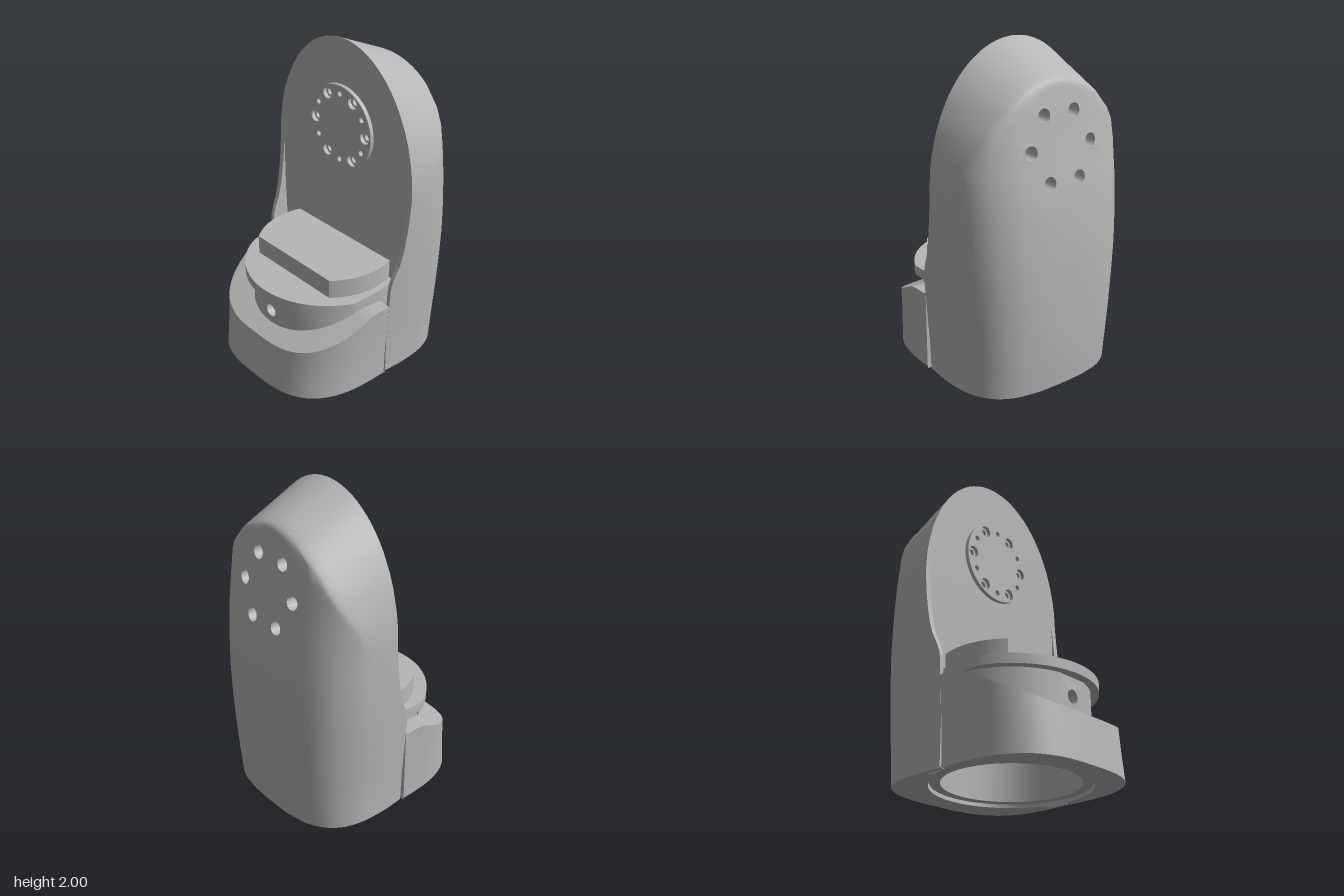
import * as THREE from 'three';
import { mergeGeometries, toCreasedNormals } from 'three/addons/utils/BufferGeometryUtils.js';

const grey = new THREE.MeshStandardMaterial({ color: 0xb6b6b6, side: THREE.DoubleSide });
grey.name = 'housing grey';

const CX = -0.03, CZ = 0.01; // turntable axis
const mounts = Array.from({ length: 6 }, (_, i) => {
  const a = i * Math.PI / 3;
  return [0.21 * Math.cos(a), 1.46 + 0.213 * Math.sin(a)]; // z, y of each bolt hole
});

// linear interpolation through [key, value] pairs
function lerpTable(t, k) {
  if (k <= t[0][0]) return t[0][1];
  for (let i = 1; i < t.length; i++) {
    const [a, va] = t[i - 1], [b, vb] = t[i];
    if (k <= b) return va + (vb - va) * (k - a) / (b - a);
  }
  return t[t.length - 1][1];
}

// skin a list of cross-sections with quads
function loft(sections, skip = () => false) {
  const pos = [], idx = [], n = sections[0].length;
  sections.forEach(s => s.forEach(p => pos.push(...p)));
  for (let i = 0; i < sections.length - 1; i++) {
    for (let j = 0; j < n - 1; j++) {
      if (skip(i, j)) continue;
      const a = i * n + j, b = a + n;
      idx.push(a, a + 1, b, a + 1, b + 1, b);
    }
  }
  const g = new THREE.BufferGeometry();
  g.setAttribute('position', new THREE.Float32BufferAttribute(pos, 3));
  g.setIndex(idx);
  return g.toNonIndexed();
}

function circleHole(x, y, r) {
  return new THREE.Path().absarc(x, y, r, 0, Math.PI * 2, true);
}

function rectShape(x0, x1, y0, y1) {
  return new THREE.Shape([[x0, y0], [x1, y0], [x1, y1], [x0, y1]].map(p => new THREE.Vector2(...p)));
}

// horizontal slab from a shape drawn in x, z
function slab(shape, y0, y1) {
  return new THREE.ExtrudeGeometry(shape, { depth: y1 - y0, bevelEnabled: false, curveSegments: 40 })
    .rotateX(Math.PI / 2).translate(0, y1, 0);
}

// --- tower surface rules ---
const halfWidth = y => y > 1.2
  ? 0.575 * Math.sqrt(Math.max(0, 1 - ((y - 1.2) / 0.8) ** 2))
  : lerpTable([[0, 0.53], [0.17, 0.533], [0.4, 0.549], [0.6, 0.561], [0.8, 0.572], [1, 0.575]], y);
const frontEdge = y => lerpTable([[0.62, -0.02], [0.66, -0.015], [0.71, 0.003], [0.78, 0.035],
  [0.86, 0.057], [0.94, 0.072], [1.02, 0.084], [1.18, 0.1]], y);
const backEdge = y => lerpTable([[0, 0.592], [0.2, 0.61], [0.4, 0.619], [0.6, 0.623], [0.8, 0.622],
  [1, 0.612], [1.2, 0.593], [1.8, 0.492], [2, 0.46]], y);

// depth behind the inner wall of the rounded back and of the sloping arched top
function backDepth(z, y) {
  const w = y > 1.2 ? 0.575 : halfWidth(y);
  return (backEdge(y) - 0.1) * Math.cbrt(Math.max(0, 1 - (Math.abs(z) / w) ** 3));
}
function slopeDepth(z, y) {
  const arch = 1.2 + 0.8 * Math.sqrt(Math.max(0, 1 - (z / 0.575) ** 2));
  return Math.max(0, arch - y) / 0.447;
}
function backX(z, y) {
  const back = backDepth(z, y), k = 0.05;
  if (y < 1.15) return 0.1 + back;
  const slope = slopeDepth(z, y), h = Math.max(k - Math.abs(back - slope), 0) / k;
  return 0.1 + Math.max(0, Math.min(back, slope) - h * h * k / 4);
}

// half-width at which the slope meets the back
function ridgeZ(y) {
  const w = halfWidth(y);
  if (y <= 1.2) return w - 0.02;
  let lo = 0, hi = w;
  for (let i = 0; i < 30; i++) {
    const m = (lo + hi) / 2;
    if (backDepth(m, y) < slopeDepth(m, y)) lo = m; else hi = m;
  }
  return Math.max(0, Math.min(lo, w - 0.02));
}

const FLANK = 9, CORNER = 10, CELLS = [0.28, 0.16, 0.05, -0.05, -0.16, -0.28];
const ROWS = [0, 0.1, 0.2, 0.3, 0.4, 0.5, 0.56, 0.62, 0.66, 0.71, 0.78, 0.86, 0.94, 1.02, 1.1, 1.2,
  1.32, 1.4, 1.52, 1.6, 1.7, 1.73, 1.755, 1.78, 1.8, 1.815, 1.825, 1.835, 1.85, 1.87, 1.9, 1.93, 1.95,
  1.97, 1.985, 1.995, 2];

function towerSection(y) {
  const w = halfWidth(y), zr = ridgeZ(y), zc = Math.min(0.28, 0.92 * zr), xf = frontEdge(y);
  const half = s => {
    const pts = [[0.1, y, s * w * 0.94], [xf, y, s * w * 0.94], [xf, y, s * (w - 0.08 * (0.1 - xf))], [0.1, y, s * w]];
    for (let i = 1; i <= FLANK; i++) {
      const t = i / FLANK, z = w - (w - zr) * t * t * (3 - 2 * t);
      pts.push([backX(z, y), y, s * z]);
    }
    for (let i = 1; i < CORNER; i++) {
      const z = zc + (zr - zc) * Math.cos(i / CORNER * Math.PI / 2);
      pts.push([backX(z, y), y, s * z]);
    }
    return pts;
  };
  const middle = CELLS.map(c => c * zc / 0.28).map(z => [backX(z, y), y, z]);
  return [...half(1), ...middle, ...half(-1).reverse()];
}

function towerShell() {
  const first = 3 + FLANK + CORNER, r0 = ROWS.indexOf(1.2), r1 = ROWS.indexOf(1.7);
  const inPatch = (i, j) => i >= r0 && i < r1 && j >= first && j < first + 5;
  const parts = [loft(ROWS.map(towerSection), inPatch)];
  // drilled back panel, cell by cell
  for (let i = r0; i < r1; i++) for (let j = 0; j < 5; j++) {
    const [z0, z1, y0, y1] = [CELLS[j + 1], CELLS[j], ROWS[i], ROWS[i + 1]];
    const shape = rectShape(z0, z1, y0, y1);
    for (const [z, y] of mounts) {
      if (z > z0 && z < z1 && y > y0 && y < y1) shape.holes.push(circleHole(z, y, 0.04));
    }
    const g = new THREE.ShapeGeometry(shape, 12), p = g.attributes.position;
    for (let k = 0; k < p.count; k++) {
      const z = p.getX(k), y = p.getY(k);
      p.setXYZ(k, backX(z, y), y, z);
    }
    g.index.array.reverse(); // face outwards
    g.deleteAttribute('normal');
    g.deleteAttribute('uv');
    parts.push(g.toNonIndexed());
  }
  return toCreasedNormals(mergeGeometries(parts), 0.6);
}

// --- low collar in front of the turntable ---
function collar() {
  const rim = x => Math.min(0.515, 0.29 + 0.52 * (x + 0.59));
  const sections = [];
  for (let i = 0; i <= 48; i++) {
    const a = (0.5 - i / 48) * Math.PI, c = Math.cos(a), s = Math.sin(a);
    const ct = Math.pow(Math.abs(c), 2 / 3), st = Math.sign(s) * Math.pow(Math.abs(s), 2 / 3);
    const top = rim(CX - 0.56 * ct), sec = [];
    for (let j = 0; j <= 4; j++) {
      const y = top * j / 4;
      sec.push([CX - (0.6 - 0.13 * y) * ct, y, st * (halfWidth(y) - 0.002)]);
    }
    const f = Math.atan2(st, ct), xi = CX - 0.465 * Math.cos(f), zi = CZ * Math.cos(f) + 0.47 * Math.sin(f);
    sec.push([xi, rim(xi), zi], [xi, 0, zi], sec[0]);
    sections.push(sec);
  }
  return toCreasedNormals(loft(sections), 0.5);
}

export function createModel() {
  const model = new THREE.Group();
  const add = (name, geometry, parent = model) => {
    const m = new THREE.Mesh(geometry, grey);
    m.name = name;
    parent.add(m);
  };

  // tower
  const tower = new THREE.Group();
  tower.name = 'tower';
  model.add(tower);
  add('towerShell', towerShell(), tower);

  const edge = ROWS.filter(y => y >= 0.56).map(y => [halfWidth(y) * 0.94, y]);
  const wall = new THREE.Shape([...edge, ...edge.slice(0, -1).reverse().map(([z, y]) => [-z, y])]
    .map(p => new THREE.Vector2(...p)));
  mounts.forEach(([z, y]) => wall.holes.push(circleHole(z, y, 0.022)));
  add('innerWall', new THREE.ShapeGeometry(wall, 12).rotateY(-Math.PI / 2).translate(0.1, 0, 0), tower);

  const foot = new THREE.Shape(towerSection(0).map(p => new THREE.Vector2(p[0], p[2])));
  foot.absarc(CX, CZ, 0.465, -1.28, 1.28, false);
  add('towerUnderside', new THREE.ShapeGeometry(foot, 40).rotateX(Math.PI / 2), tower);

  // stepped bolt holes running through the tower
  for (const [z, y] of mounts) {
    const profile = [[0.022, 0.1], [0.022, 0.3], [0.04, 0.3], [0.04, 1]];
    const g = new THREE.LatheGeometry(profile.map(p => new THREE.Vector2(...p)), 24)
      .rotateZ(-Math.PI / 2).translate(0, y, z);
    const p = g.attributes.position;
    for (let k = 0; k < p.count; k++) if (p.getX(k) > 0.9) p.setX(k, backX(p.getZ(k), p.getY(k)));
    add('boltHole', toCreasedNormals(g, 0.6), tower);
  }

  // round joint plate on the inner wall
  const plate = new THREE.Shape().absarc(0, 1.46, 0.26, 0, Math.PI * 2, false);
  mounts.forEach(([z, y]) => plate.holes.push(circleHole(z, y, 0.036)));
  for (let i = 0; i < 6; i++) {
    const a = (i + 0.5) * Math.PI / 3;
    plate.holes.push(circleHole(0.21 * Math.cos(a), 1.46 + 0.21 * Math.sin(a), 0.017));
  }
  const plateGeometry = new THREE.ExtrudeGeometry(plate, { depth: 0.025, bevelEnabled: false, curveSegments: 32 })
    .rotateY(-Math.PI / 2).translate(0.1, 0, 0);
  add('jointPlate', toCreasedNormals(plateGeometry, 0.6), tower);

  // collar and its two end faces
  add('collar', collar());
  for (const s of [-1, 1]) {
    add('collarEnd', new THREE.PlaneGeometry(0.07, 0.515).rotateY(Math.PI / 2).translate(CX, 0.2575, s * 0.505));
  }

  // turntable drum with a cable hole at its front
  const R = 0.46, gap = Math.asin(0.1 / R);
  add('drumWall', new THREE.CylinderGeometry(R, R, 0.52, 64, 1, true, 1.5 * Math.PI + gap, 2 * Math.PI - 2 * gap)
    .translate(CX, 0.28, CZ));
  const panel = rectShape(-0.1, 0.1, 0.02, 0.54);
  panel.holes.push(circleHole(0, 0.42, 0.042));
  const pg = new THREE.ShapeGeometry(panel, 16), pp = pg.attributes.position;
  for (let k = 0; k < pp.count; k++) {
    const s = pp.getX(k);
    pp.setXYZ(k, CX - Math.sqrt(R * R - s * s), pp.getY(k), CZ + s);
  }
  pg.computeVertexNormals();
  add('drumPanel', pg);
  add('cableHole', new THREE.CylinderGeometry(0.042, 0.042, 0.15, 24, 1, true)
    .rotateZ(Math.PI / 2).translate(CX - R + 0.077, 0.42, CZ));
  add('cableHoleEnd', new THREE.CircleGeometry(0.042, 24).rotateY(-Math.PI / 2).translate(CX - R + 0.152, 0.42, CZ));
  add('drumBore', new THREE.CylinderGeometry(0.4, 0.4, 0.33, 64, 1, true).translate(CX, 0.185, CZ));
  add('drumRim', new THREE.RingGeometry(0.4, R, 64).rotateX(Math.PI / 2).translate(CX, 0.02, CZ));
  const ceiling = new THREE.Shape().absarc(CX, CZ, 0.4, 0, Math.PI * 2, false);
  for (let i = 0; i < 8; i++) {
    const a = (i + 0.5) * Math.PI / 4;
    ceiling.holes.push(circleHole(CX + 0.33 * Math.cos(a), CZ + 0.33 * Math.sin(a), 0.017));
  }
  add('drumCeiling', slab(ceiling, 0.35, 0.38));

  // turntable disc with flat sides
  const disc = new THREE.Shape().moveTo(0.1, CZ - 0.47).lineTo(0.1, CZ + 0.47);
  disc.absarc(CX, CZ, 0.51, Math.PI - 1.172, Math.PI + 1.172, false);
  add('turntableDisc', toCreasedNormals(slab(disc, 0.54, 0.6), 0.5));

  // raised block on the disc, cut straight at the front
  const block = new THREE.Shape().absarc(CX, CZ, 0.43, 1.264, Math.PI - 0.861, false);
  block.absarc(CX, CZ, 0.43, Math.PI + 0.861, 2 * Math.PI - 1.264, false);
  add('turntableBlock', toCreasedNormals(slab(block, 0.6, 0.72), 0.5));

  return model;
}
